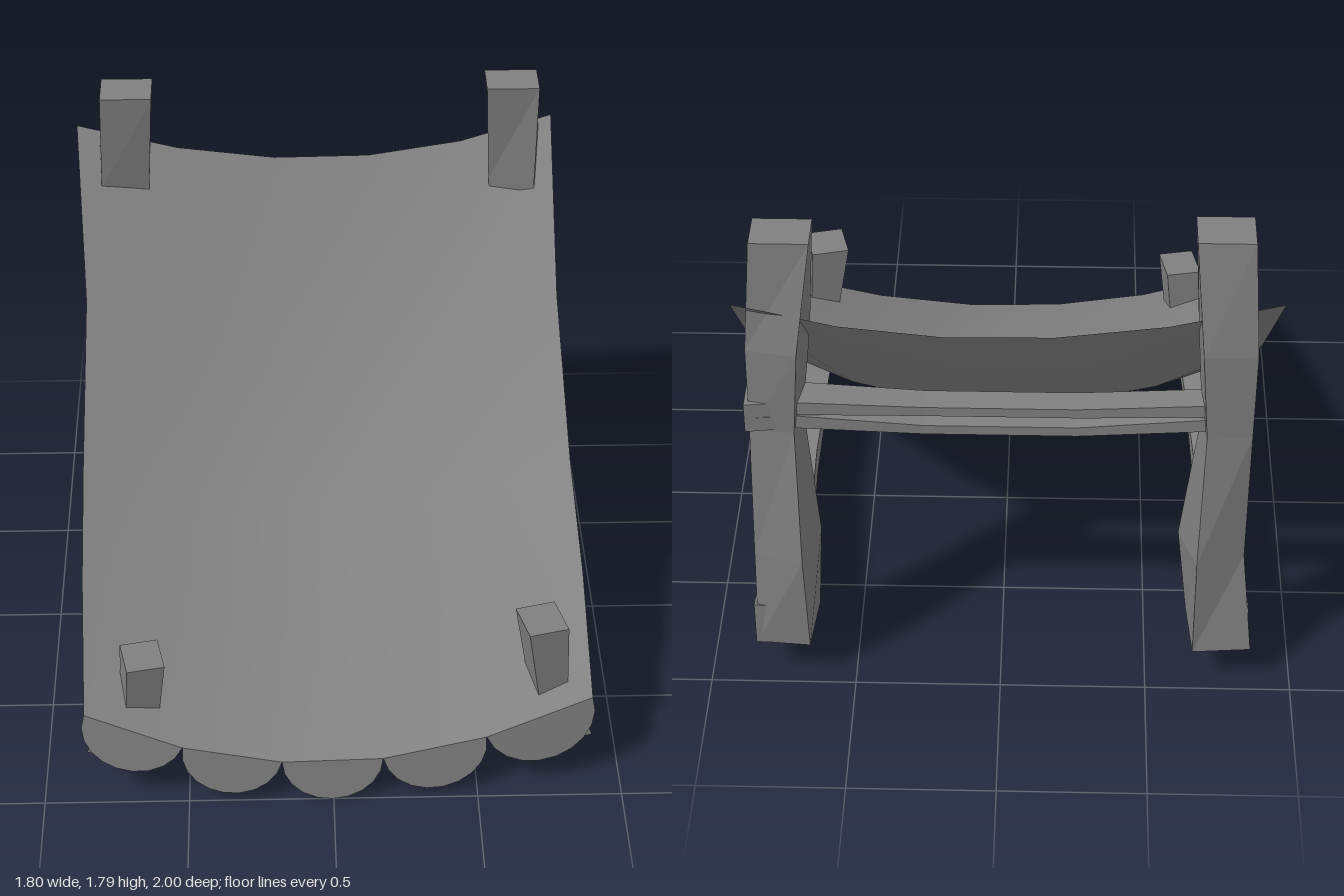
import * as THREE from 'three';

const wood = new THREE.MeshStandardMaterial({ color: 0x808080, flatShading: true });
const fabric = new THREE.MeshStandardMaterial({ color: 0x828282, side: THREE.DoubleSide });

// Hewn timber: a box bent through sections [x, y, z, width, depth, twist].
// turn maps the box's long y axis onto the direction of the timber.
function timber(name, sections, turn = new THREE.Euler()) {
  const n = sections.length - 1;
  const geo = new THREE.BoxGeometry(1, 1, 1, 1, n, 1);
  const pos = geo.attributes.position;
  const v = new THREE.Vector3();
  const up = new THREE.Vector3(0, 1, 0);
  for (let i = 0; i < pos.count; i++) {
    const [x, y, z, w, d, twist = 0] = sections[Math.round((pos.getY(i) + 0.5) * n)];
    v.set(pos.getX(i) * w, 0, pos.getZ(i) * d).applyAxisAngle(up, twist).applyEuler(turn);
    pos.setXYZ(i, v.x + x, v.y + y, v.z + z);
  }
  geo.computeVertexNormals();
  const mesh = new THREE.Mesh(geo, wood);
  mesh.name = name;
  return mesh;
}

// Cloth rows from front to back: z, right/left edge x, edge height, sag, z bulge, z skew, x shift
const rows = [
  [0.925, -0.85, 0.89, 0.37, 0.195, 0.07, -0.025, -0.025],
  [0.45, -0.87, 0.89, 0.55, 0.19, 0.03, 0, -0.01],
  [0, -0.88, 0.88, 0.70, 0.205, -0.02, 0, 0],
  [-0.48, -0.87, 0.855, 1.10, 0.26, -0.02, 0, 0.01],
  [-0.93, -0.90, 0.85, 1.59, 0.15, 0.02, -0.02, 0.025],
];
const COLS = 5;

function clothPoint(row, col) {
  const [z, x0, x1, y, sag, bulge, skew, shift] = rows[row];
  const t = col / COLS, u = 2 * t - 1, f = 1 - u * u;
  return new THREE.Vector3(x0 + (x1 - x0) * t + shift * f, y - sag * f, z + bulge * f + skew * u);
}

function createCloth() {
  const geo = new THREE.PlaneGeometry(1, 1, COLS, rows.length - 1);
  const pos = geo.attributes.position;
  for (let i = 0; i < pos.count; i++) {
    const col = i % (COLS + 1), row = rows.length - 1 - Math.floor(i / (COLS + 1));
    const p = clothPoint(row, col);
    pos.setXYZ(i, p.x, p.y, p.z);
  }
  geo.computeVertexNormals();
  const mesh = new THREE.Mesh(geo, fabric);
  mesh.name = 'cloth';
  return mesh;
}

// Half discs hanging from each segment of the front edge
function createScallops() {
  const group = new THREE.Group();
  group.name = 'scallops';
  for (let i = 0; i < COLS; i++) {
    const a = clothPoint(0, i), b = clothPoint(0, i + 1);
    const side = b.clone().sub(a);
    const geo = new THREE.CircleGeometry(side.length() / 2, 10, Math.PI, Math.PI);
    side.normalize();
    const out = side.clone().cross(new THREE.Vector3(0, 1, -0.05)).normalize();
    const up = out.clone().cross(side);
    geo.applyMatrix4(new THREE.Matrix4().makeBasis(side, up, out).setPosition(a.add(b).multiplyScalar(0.5)));
    const mesh = new THREE.Mesh(geo, fabric);
    mesh.name = 'scallop';
    group.add(mesh);
  }
  return group;
}

export function createModel() {
  const model = new THREE.Group();
  const alongZ = new THREE.Euler(Math.PI / 2, 0, 0);
  const alongX = new THREE.Euler(0, 0, -Math.PI / 2);

  // Back posts, leaning and slightly twisted
  model.add(
    timber('leftBackPost', [
      [0.735, 0.16, -0.86, 0.18, 0.22, -0.08],
      [0.72, 0.55, -0.88, 0.17, 0.19, -0.27],
      [0.735, 1.07, -0.87, 0.15, 0.13, -0.15],
      [0.715, 1.40, -0.875, 0.17, 0.16, -0.2],
      [0.69, 1.80, -0.845, 0.19, 0.14, 0],
    ]),
    timber('rightBackPost', [
      [-0.75, 0.155, -0.855, 0.2, 0.22, 0.08],
      [-0.71, 0.55, -0.86, 0.17, 0.18, 0.33],
      [-0.74, 1.07, -0.87, 0.15, 0.13, 0.1],
      [-0.73, 1.40, -0.86, 0.175, 0.16, 0.07],
      [-0.707, 1.80, -0.805, 0.185, 0.15, 0],
    ]),
  );

  // Ground rails, back to front
  model.add(
    timber('leftRail', [
      [0.755, 0.245, -0.965, 0.17, 0.17, 0],
      [0.765, 0.21, -0.5, 0.15, 0.15, 0],
      [0.775, 0.195, -0.03, 0.14, 0.10, 0],
      [0.78, 0.185, 0.42, 0.16, 0.16, 0.1],
      [0.785, 0.22, 0.87, 0.19, 0.16, 0.3],
    ], alongZ),
    timber('rightRail', [
      [-0.755, 0.245, -0.94, 0.18, 0.17, 0],
      [-0.755, 0.205, -0.5, 0.15, 0.15, 0],
      [-0.76, 0.19, -0.03, 0.14, 0.10, 0],
      [-0.75, 0.18, 0.42, 0.16, 0.16, -0.1],
      [-0.735, 0.21, 0.91, 0.20, 0.15, -0.24],
    ], alongZ),
  );

  // Pair of sagging cross planks, their left ends running through the post
  for (const [name, y, bow] of [['upperCrossPlank', 1.16, 0.02], ['lowerCrossPlank', 1.105, 0.04]]) {
    model.add(timber(name, [
      [-0.75, y, -0.865, 0.05, 0.09],
      [-0.25, y - bow, -0.865, 0.035, 0.09],
      [0.25, y - bow, -0.865, 0.035, 0.09],
      [0.66, y, -0.875, 0.05, 0.11],
      [0.83, y, -0.88, 0.056, 0.14],
    ], alongX));
  }

  // Short front pegs poking through the cloth
  model.add(
    timber('leftFrontPeg', [
      [0.76, 0.2, 0.77, 0.09, 0.12, 0.25],
      [0.715, 0.625, 0.78, 0.14, 0.15, 0.25],
    ]),
    timber('rightFrontPeg', [
      [-0.675, 0.2, 0.80, 0.11, 0.12, 0.2],
      [-0.65, 0.52, 0.82, 0.13, 0.145, 0.2],
    ]),
  );

  model.add(createCloth(), createScallops());
  return model;
}
